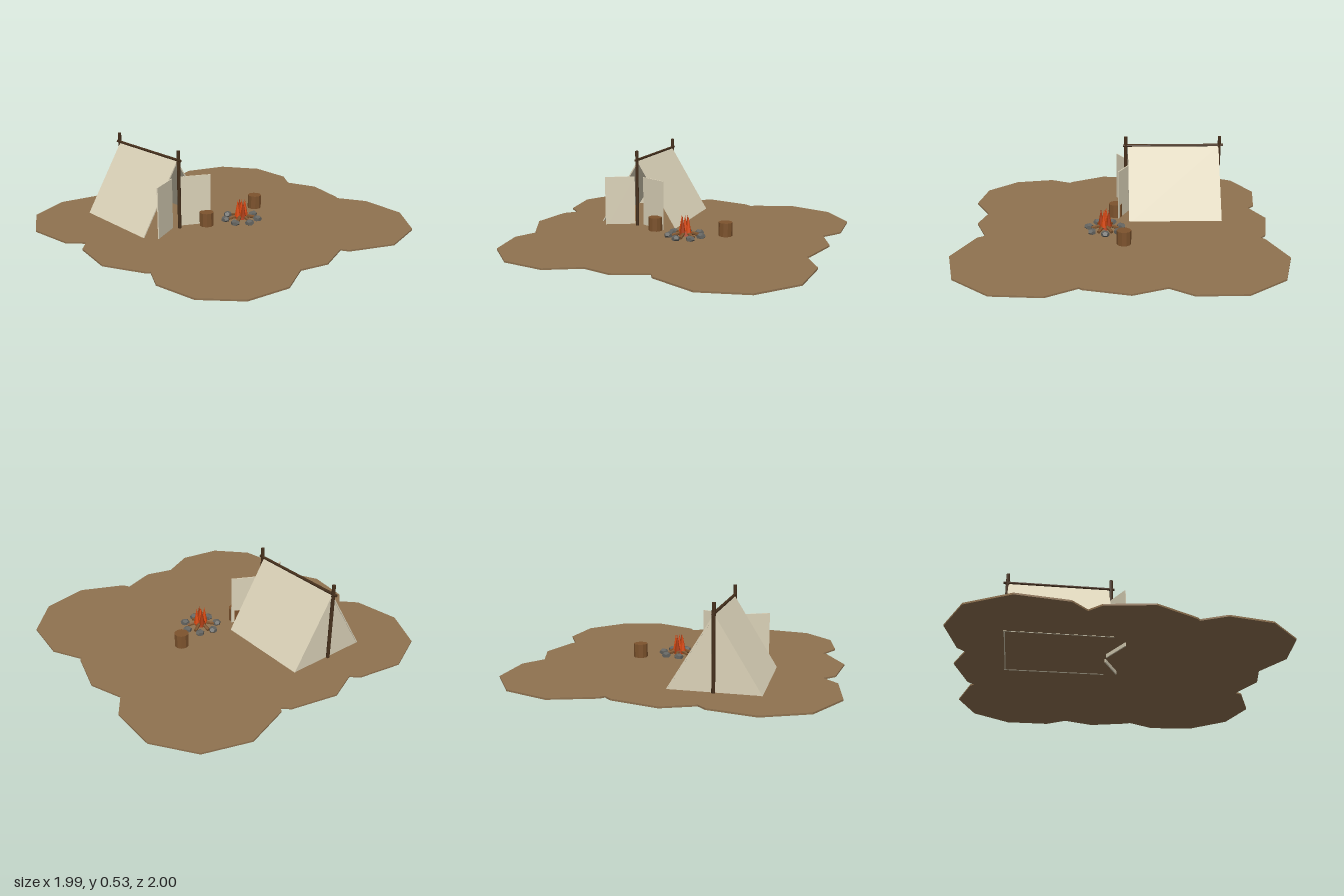
import * as THREE from 'three';

const mat = (name, color) => {
  const m = new THREE.MeshStandardMaterial({ color });
  m.name = name;
  m.flatShading = true;
  return m;
};

export function createModel() {
  const root = new THREE.Group();
  root.name = 'campsite';
  const earth = mat('earth', 0x8f7250);
  const canvas = mat('canvas', 0xdcd3b9);
  const darkWood = mat('dark wood', 0x46301c);
  const logWood = mat('log wood', 0x7d532d);
  const stone = mat('stone', 0x63635f);
  const flame = mat('flame', 0xd8480f);
  const ember = mat('ember', 0xa83a10);

  const add = (name, geo, material, x = 0, y = 0, z = 0, parent = root) => {
    const m = new THREE.Mesh(geo, material);
    m.name = name;
    m.position.set(x, y, z);
    parent.add(m);
    return m;
  };
  // Round bar between two points
  const bar = (name, a, b, r, material, sides = 8, parent = root) => {
    const p = new THREE.Vector3(...a), q = new THREE.Vector3(...b);
    const d = q.clone().sub(p);
    const m = add(name, new THREE.CylinderGeometry(r, r, d.length(), sides), material, 0, 0, 0, parent);
    m.position.copy(p).add(q).multiplyScalar(0.5);
    m.quaternion.setFromUnitVectors(new THREE.Vector3(0, 1, 0), d.normalize());
    return m;
  };
  const shapeOf = pts => new THREE.Shape(pts.map(([x, y]) => new THREE.Vector2(x, y)));
  const slab = (shape, depth) => new THREE.ExtrudeGeometry(shape, { depth, bevelEnabled: false });

  // Ground: scalloped thin slab, outline as x, z
  const outline = [
    [-0.6, -1], [-0.32, -0.95], [-0.27, -0.905], [-0.08, -0.985], [0.205, -0.92], [0.25, -0.88],
    [0.27, -0.905], [0.545, -0.995], [0.82, -0.905], [0.99, -0.67], [0.99, -0.38], [0.9, -0.25],
    [0.975, -0.05], [0.905, 0.215], [0.89, 0.23], [0.99, 0.41], [0.965, 0.705], [0.77, 0.93],
    [0.48, 1], [0.205, 0.88], [0.18, 0.835], [-0.03, 0.915], [-0.205, 0.87], [-0.41, 0.975],
    [-0.675, 0.935], [-0.86, 0.745], [-0.905, 0.485], [-0.835, 0.345], [-0.855, 0.33], [-0.98, 0.09],
    [-0.94, -0.18], [-0.87, -0.25], [-0.96, -0.34], [-1, -0.63], [-0.86, -0.885],
  ];
  const groundGeo = slab(shapeOf(outline.map(([x, z]) => [x, -z])), 0.01);
  groundGeo.rotateX(-Math.PI / 2);
  add('ground', groundGeo, earth, 0, 0.022, 0);

  // Tent: folded sheet open at the front, closed at the back
  const tent = new THREE.Group();
  tent.name = 'tent';
  root.add(tent);
  const tx = -0.306, half = 0.278, base = 0.02, peak = 0.47, t = 0.008;
  const fold = shapeOf([
    [-half, base], [-half + t, base], [0, peak - 0.016], [half - t, base], [half, base], [0, peak],
  ]);
  add('tentSides', slab(fold, 0.61), canvas, tx, 0, -0.685, tent);
  const back = shapeOf([[-half + t, base], [half - t, base], [0, peak - 0.014]]);
  add('tentBack', slab(back, 0.006), canvas, tx, 0, -0.682, tent);

  // Door flaps swung outwards
  for (const s of [-1, 1]) {
    const flap = add('doorFlap', new THREE.BoxGeometry(0.198, 0.356, 0.007), canvas,
      tx + s * 0.121, 0.178, -0.048, tent);
    flap.rotation.y = -s * 0.46;
  }

  // Posts and ridge pole
  for (const z of [-0.06, -0.69]) {
    bar('post', [tx, 0.025, z], [tx, 0.535, z], 0.011, darkWood, 8, tent);
  }
  bar('ridgePole', [tx, 0.474, -0.715], [tx, 0.474, -0.04], 0.009, darkWood, 8, tent);

  // Log seats
  for (const [x, z] of [[-0.145, 0.013], [0.321, -0.028]]) {
    add('logSeat', new THREE.CylinderGeometry(0.045, 0.045, 0.09, 10), logWood, x, 0.075, z);
  }

  // Campfire
  const fire = new THREE.Group();
  fire.name = 'campfire';
  fire.position.set(0.09, 0, 0.085);
  root.add(fire);
  for (let i = 0; i < 7; i++) {
    const a = i / 7 * Math.PI * 2;
    const rock = add('fireStone', new THREE.DodecahedronGeometry(0.031), stone,
      Math.cos(a) * 0.106, 0.043, Math.sin(a) * 0.106, fire);
    rock.scale.set(1, 0.72, 0.9);
    rock.rotation.y = -a + i * 0.4;
  }
  for (let i = 0; i < 6; i++) {
    const a = (i + 0.5) / 6 * Math.PI * 2, c = Math.cos(a), s = Math.sin(a);
    bar('firewood', [c * 0.085, 0.042, s * 0.085], [0, 0.065, 0], 0.011, logWood, 6, fire);
  }
  add('emberBed', new THREE.CylinderGeometry(0.03, 0.04, 0.03, 7), ember, 0, 0.055, 0, fire);
  add('centreFlame', new THREE.ConeGeometry(0.022, 0.12, 6), flame, 0, 0.11, 0, fire);
  for (let i = 0; i < 4; i++) {
    const a = i / 4 * Math.PI * 2 + 0.3;
    add('flame', new THREE.ConeGeometry(0.02, 0.11, 6), i % 2 ? ember : flame,
      Math.cos(a) * 0.026, 0.113, Math.sin(a) * 0.026, fire);
  }
  return root;
}
